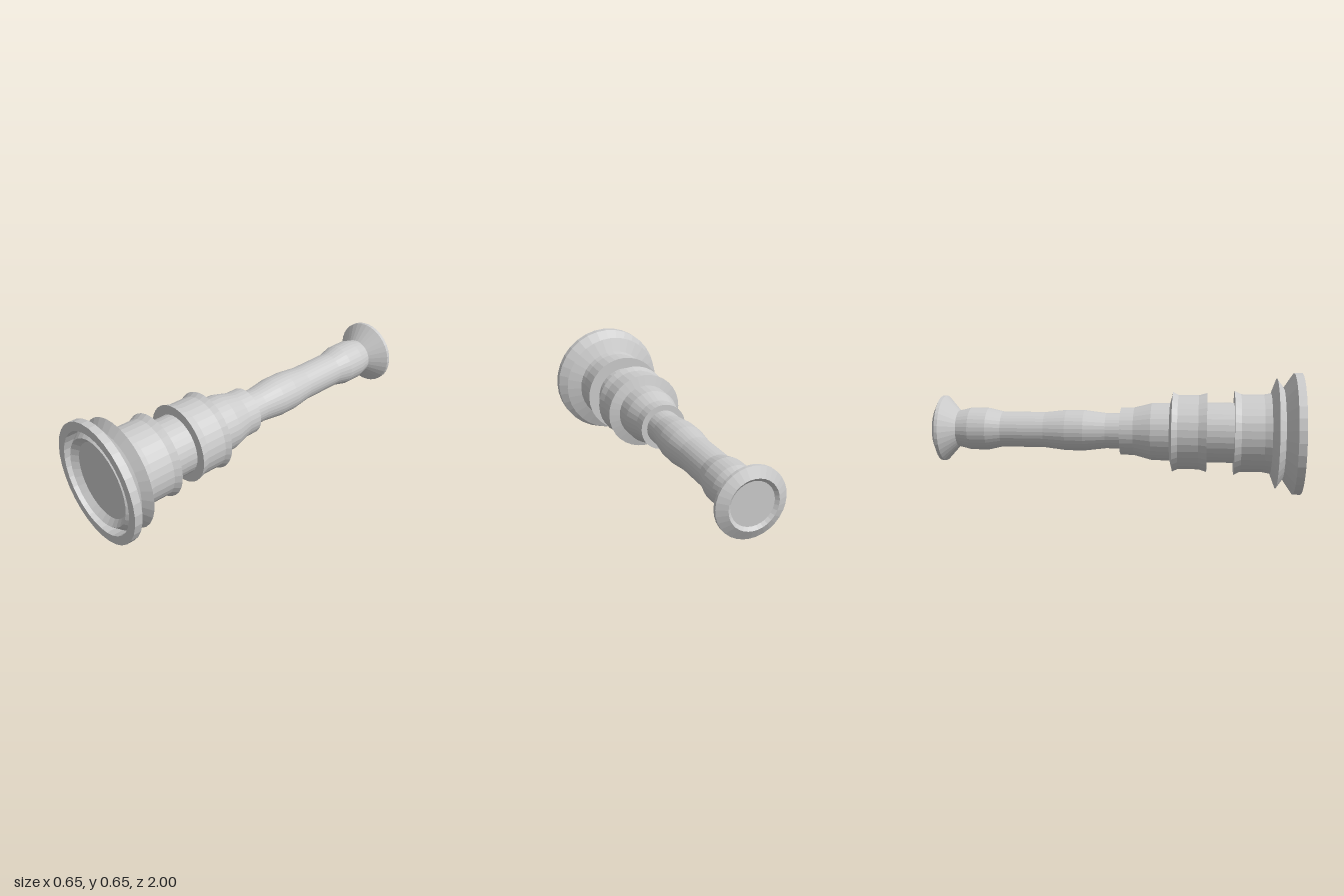
import * as THREE from 'three';

const AXIS_HEIGHT = 0.327;
const SIDES = 32;

const material = new THREE.MeshStandardMaterial({ color: 0xcccccc, flatShading: true });

// Turned part: profile of [radius, z] running from the back to the front
function turned(name, profile) {
  const points = profile.map(([r, z]) => new THREE.Vector2(r, z));
  const geometry = new THREE.LatheGeometry(points, SIDES);
  geometry.rotateX(Math.PI / 2);
  const mesh = new THREE.Mesh(geometry, material);
  mesh.name = name;
  mesh.position.y = AXIS_HEIGHT;
  return mesh;
}

export function createModel() {
  const group = new THREE.Group();
  group.name = 'spyglass';

  group.add(
    // Flared eyepiece with a shallow recessed lens
    turned('eyepiece', [
      [0, -0.985], [0.113, -0.985], [0.13, -1], [0.182, -0.973],
      [0.182, -0.955], [0.1, -0.88],
    ]),
    // Slim draw tube with two soft swellings
    turned('drawTube', [
      [0.1, -0.88], [0.117, -0.81], [0.117, -0.71], [0.098, -0.63],
      [0.098, -0.39], [0.112, -0.27], [0.112, -0.17], [0.097, -0.05],
      [0.097, 0.035],
    ]),
    // Stepped sleeve that the draw tube slides into
    turned('sleeve', [
      [0.097, 0.032], [0.13, 0.032], [0.131, 0.105], [0.156, 0.2], [0.158, 0.3],
    ]),
    // Grip collar with flared lips
    turned('gripCollar', [
      [0.158, 0.3], [0.217, 0.315], [0.202, 0.345], [0.202, 0.455],
      [0.215, 0.5], [0.163, 0.5],
    ]),
    // Plain neck between the collars
    turned('neck', [[0.163, 0.5], [0.163, 0.645]]),
    // Main barrel, ending in a sharp ridge
    turned('barrel', [
      [0.163, 0.645], [0.228, 0.645], [0.21, 0.68], [0.21, 0.8],
      [0.217, 0.838], [0.297, 0.868], [0.246, 0.904],
    ]),
    // Front rim, with a groove around its inside
    turned('frontRim', [
      [0.246, 0.904], [0.326, 0.958], [0.326, 1], [0.278, 1], [0.278, 0.94],
    ]),
    // Lens holder: raised ring and recessed front lens
    turned('frontLens', [
      [0.278, 0.94], [0.237, 0.99], [0.205, 0.96], [0, 0.96],
    ]),
  );
  return group;
}
